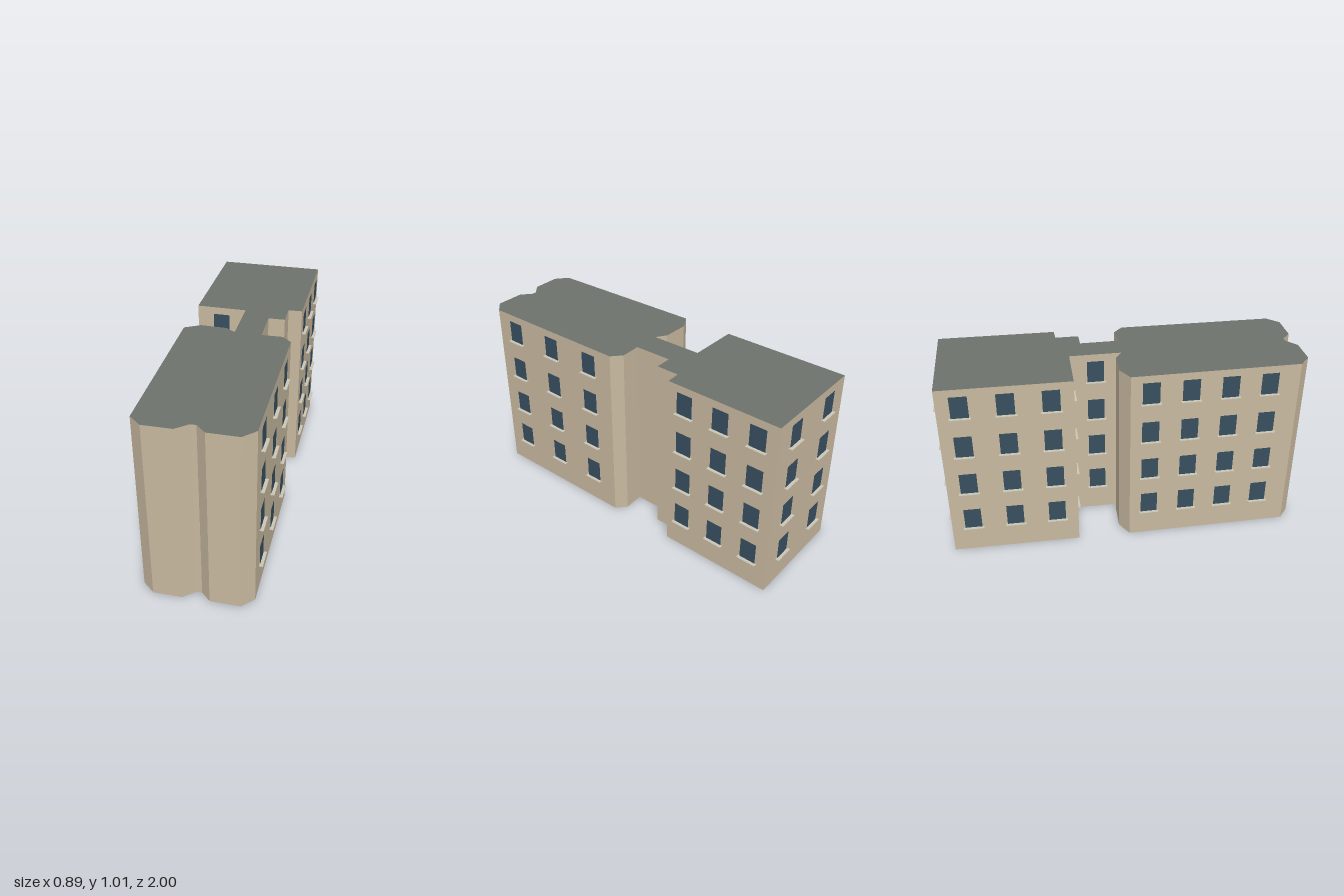
import * as THREE from 'three';

const HEIGHT = 1.013;
const FLOORS = [0.15, 0.383, 0.616, 0.85]; // window bottoms
const WIN_W = 0.092, WIN_H = 0.123;

// Footprint as (x, z), clockwise seen from above
const OUTLINE = [
  [-0.435, -0.91], [0.15, -1], [0.245, -0.37], [0.17, -0.355], [0.19, -0.23],
  [0.1, -0.215], [0.135, -0.01], [0.245, -0.03], [0.305, 0.01], [0.435, 0.85],
  [0.385, 0.92], [0.228, 0.945], [0.17, 0.905], [0.142, 0.91], [0.09, 0.97],
  [-0.06, 0.995], [-0.133, 0.95], [-0.285, 0.06], [-0.21, 0], [-0.07, -0.018],
  [-0.01, 0.01], [-0.055, -0.265], [-0.328, -0.225],
];

// Wall index (its starting corner) and window positions along that wall
const WINDOWS = [
  { name: 'backWall', wall: 0, at: [0.24, 0.75] },
  { name: 'rearBlockLeftWall', wall: 1, at: [0.175, 0.508, 0.842] },
  { name: 'frontBlockLeftWall', wall: 8, at: [0.182, 0.51, 0.84] },
  { name: 'frontBlockRightWall', wall: 16, at: [0.18, 0.413, 0.646, 0.88] },
  { name: 'connectorRightWall', wall: 20, at: [0.5] },
  { name: 'rearBlockFrontWall', wall: 21, at: [0.5] },
  { name: 'rearBlockRightWall', wall: 22, at: [0.168, 0.5, 0.832] },
];

const material = (color, side = THREE.FrontSide) => new THREE.MeshStandardMaterial({ color, side });

export function createModel() {
  const model = new THREE.Group();
  model.name = 'apartmentBuilding';
  const wallMat = material(0xc8b9a0);
  const roofMat = material(0x6e726d);
  const glassMat = material(0x384f5f, THREE.DoubleSide);
  const sillMat = material(0xc9c5b6, THREE.DoubleSide);

  // Building body: footprint extruded upward, caps in the roof colour
  const shape = new THREE.Shape(OUTLINE.map(([x, z]) => new THREE.Vector2(x, -z)));
  const bodyGeo = new THREE.ExtrudeGeometry(shape, { depth: HEIGHT, bevelEnabled: false });
  bodyGeo.rotateX(-Math.PI / 2);
  const body = new THREE.Mesh(bodyGeo, [roofMat, wallMat]);
  body.name = 'wallsAndRoof';
  model.add(body);

  // Window pane and thin sill, both facing +z with the wall at z = 0
  const paneGeo = new THREE.PlaneGeometry(WIN_W, WIN_H).translate(0, WIN_H / 2, 0.003);
  const sillGeo = new THREE.BoxGeometry(0.11, 0.003, 0.02).translate(0, -0.0015, 0.01);

  for (const { name, wall, at } of WINDOWS) {
    const [ax, az] = OUTLINE[wall];
    const [bx, bz] = OUTLINE[(wall + 1) % OUTLINE.length];
    const group = new THREE.Group();
    group.name = `${name}Windows`;
    for (const t of at) {
      for (const y of FLOORS) {
        const unit = new THREE.Group();
        unit.name = 'window';
        const pane = new THREE.Mesh(paneGeo, glassMat);
        pane.name = 'windowPane';
        const sill = new THREE.Mesh(sillGeo, sillMat);
        sill.name = 'windowSill';
        unit.add(pane, sill);
        unit.position.set(ax + (bx - ax) * t, y, az + (bz - az) * t);
        unit.rotation.y = Math.atan2(bz - az, ax - bx); // outward normal
        group.add(unit);
      }
    }
    model.add(group);
  }
  return model;
}
